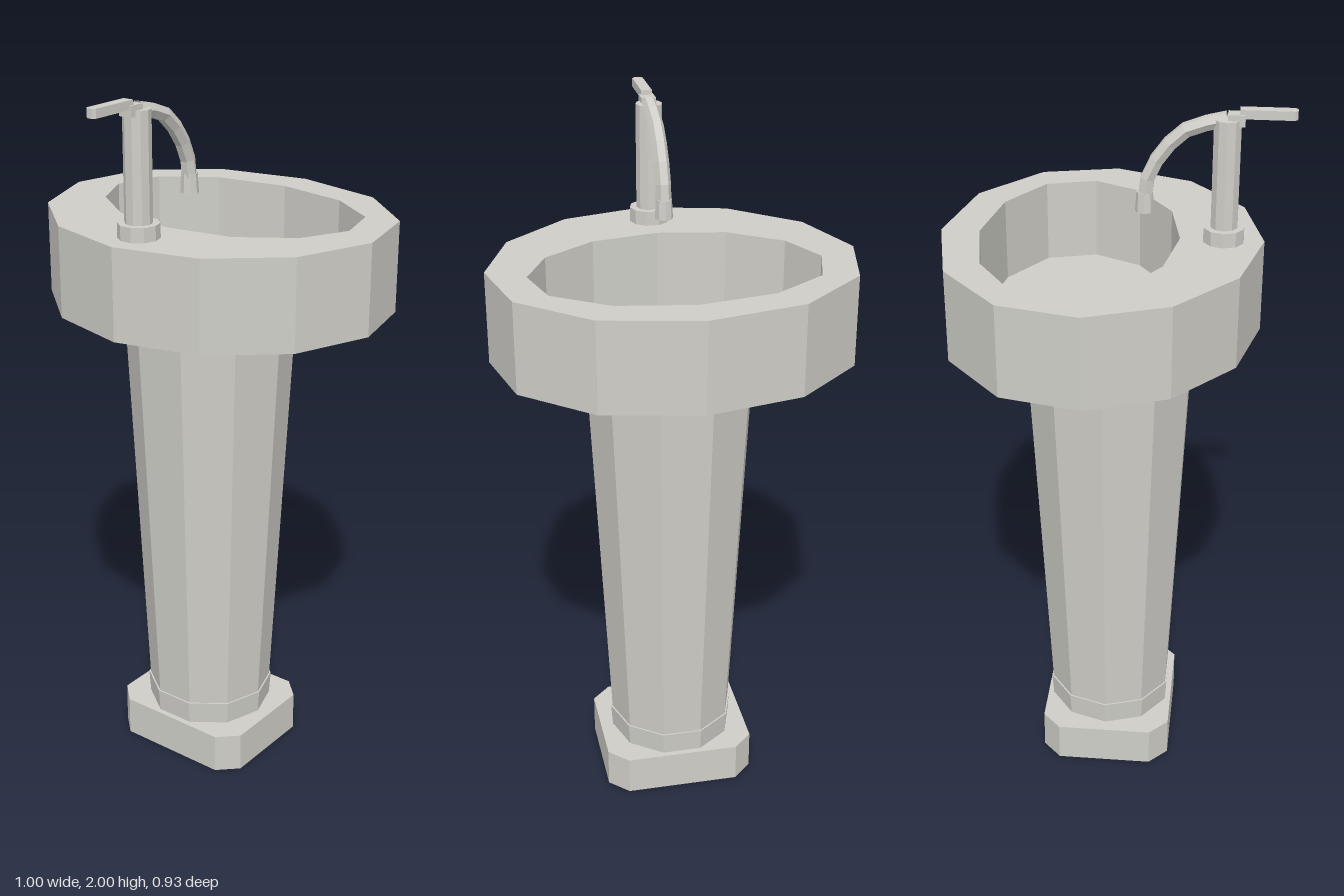
import * as THREE from 'three';

const ceramic = new THREE.MeshStandardMaterial({ color: 0xcfcec8, flatShading: true, side: THREE.DoubleSide });
ceramic.name = 'ceramic grey';

// Half outlines in (x, z), back to front, mirrored across x
const rimHalf = [[0, -0.466], [0.267, -0.41], [0.451, -0.25], [0.5, -0.035], [0.418, 0.183], [0.235, 0.34], [0, 0.398]];
const bowlHalf = [[0, -0.362], [0.21, -0.326], [0.357, -0.228], [0.395, -0.09], [0.33, 0.043], [0.186, 0.142], [0, 0.175]];

// Closed outline as shape points; shape y is -z so that faces look up
function outline(half) {
  const other = half.slice(1, -1).reverse().map(([x, z]) => [-x, z]);
  return [...half, ...other].map(([x, z]) => new THREE.Vector2(x, -z));
}

function flat(shape, y) {
  return new THREE.ShapeGeometry(shape).rotateX(-Math.PI / 2).translate(0, y, 0);
}

// Upright wall along an outline, facing outwards or inwards
function wall(points, y0, y1, inward) {
  const pos = [];
  points.forEach((p, i) => {
    const q = points[(i + 1) % points.length];
    const [a, b] = inward ? [p, q] : [q, p];
    pos.push(a.x, y0, -a.y, b.x, y0, -b.y, b.x, y1, -b.y);
    pos.push(a.x, y0, -a.y, b.x, y1, -b.y, a.x, y1, -a.y);
  });
  const g = new THREE.BufferGeometry();
  g.setAttribute('position', new THREE.Float32BufferAttribute(pos, 3));
  g.computeVertexNormals();
  return g;
}

function cylinder(rTop, rBottom, y0, y1, z, sides = 10) {
  return new THREE.CylinderGeometry(rTop, rBottom, y1 - y0, sides, 1, false, Math.PI / 2)
    .translate(0, (y0 + y1) / 2, z);
}

export function createModel() {
  const model = new THREE.Group();
  model.name = 'pedestalSink';
  const add = (name, geometry, parent = model) => {
    const mesh = new THREE.Mesh(geometry, ceramic);
    mesh.name = name;
    parent.add(mesh);
    return mesh;
  };

  // Basin: an outer skirt open below, a rim and a straight-walled bowl
  const basin = new THREE.Group();
  basin.name = 'basin';
  model.add(basin);
  const rim = outline(rimHalf), bowl = outline(bowlHalf);
  const rimShape = new THREE.Shape(rim);
  rimShape.holes.push(new THREE.Path(bowl));
  add('rimTop', flat(rimShape, 1.64), basin);
  add('outerSkirt', wall(rim, 1.385, 1.64, false), basin);
  add('bowlWall', wall(bowl, 1.41, 1.64, true), basin);
  add('bowlFloor', flat(new THREE.Shape(bowl), 1.41), basin);
  add('drainRing', cylinder(0.037, 0.037, 1.41, 1.416, -0.092, 8), basin);
  add('drainPlug', cylinder(0.016, 0.016, 1.416, 1.42, -0.092, 6), basin);

  // Tapered ten-sided column with a small foot ring
  add('column', cylinder(0.241, 0.182, 0.18, 1.409, -0.01));
  add('columnFoot', cylinder(0.187, 0.182, 0.11, 0.185, -0.01));

  // Base slab with cut corners
  const base = new THREE.Shape([
    [-0.165, -0.18], [0.165, -0.18], [0.22, -0.127], [0.22, 0.147],
    [0.165, 0.2], [-0.165, 0.2], [-0.22, 0.147], [-0.22, -0.127],
  ].map(([x, y]) => new THREE.Vector2(x, y)));
  add('baseSlab', new THREE.ExtrudeGeometry(base, { depth: 0.117, bevelEnabled: false }).rotateX(-Math.PI / 2));

  // Faucet
  const faucet = new THREE.Group();
  faucet.name = 'faucet';
  model.add(faucet);
  add('faucetCollar', cylinder(0.056, 0.056, 1.64, 1.68, 0.29), faucet);
  add('faucetBody', cylinder(0.037, 0.037, 1.68, 1.972, 0.29), faucet);
  const path = new THREE.CatmullRomCurve3([
    [0.29, 1.972], [0.185, 1.94], [0.122, 1.875], [0.088, 1.81], [0.08, 1.75],
  ].map(([z, y]) => new THREE.Vector3(0, y, z)));
  add('spout', new THREE.TubeGeometry(path, 6, 0.021, 6, false), faucet);
  add('nozzle', cylinder(0.022, 0.025, 1.715, 1.768, 0.08, 8), faucet);

  // Lever pointing forwards, with a clipped tip
  add('leverMount', new THREE.BoxGeometry(0.04, 0.03, 0.045).translate(0, 1.972, 0.312), faucet);
  const lever = new THREE.Shape([
    [-0.015, -0.32], [-0.015, -0.458], [-0.008, -0.466], [0.008, -0.466], [0.015, -0.458], [0.015, -0.32],
  ].map(([x, y]) => new THREE.Vector2(x, y)));
  add('lever', new THREE.ExtrudeGeometry(lever, { depth: 0.024, bevelEnabled: false })
    .rotateX(-Math.PI / 2).translate(0, 1.976, 0), faucet);

  return model;
}
